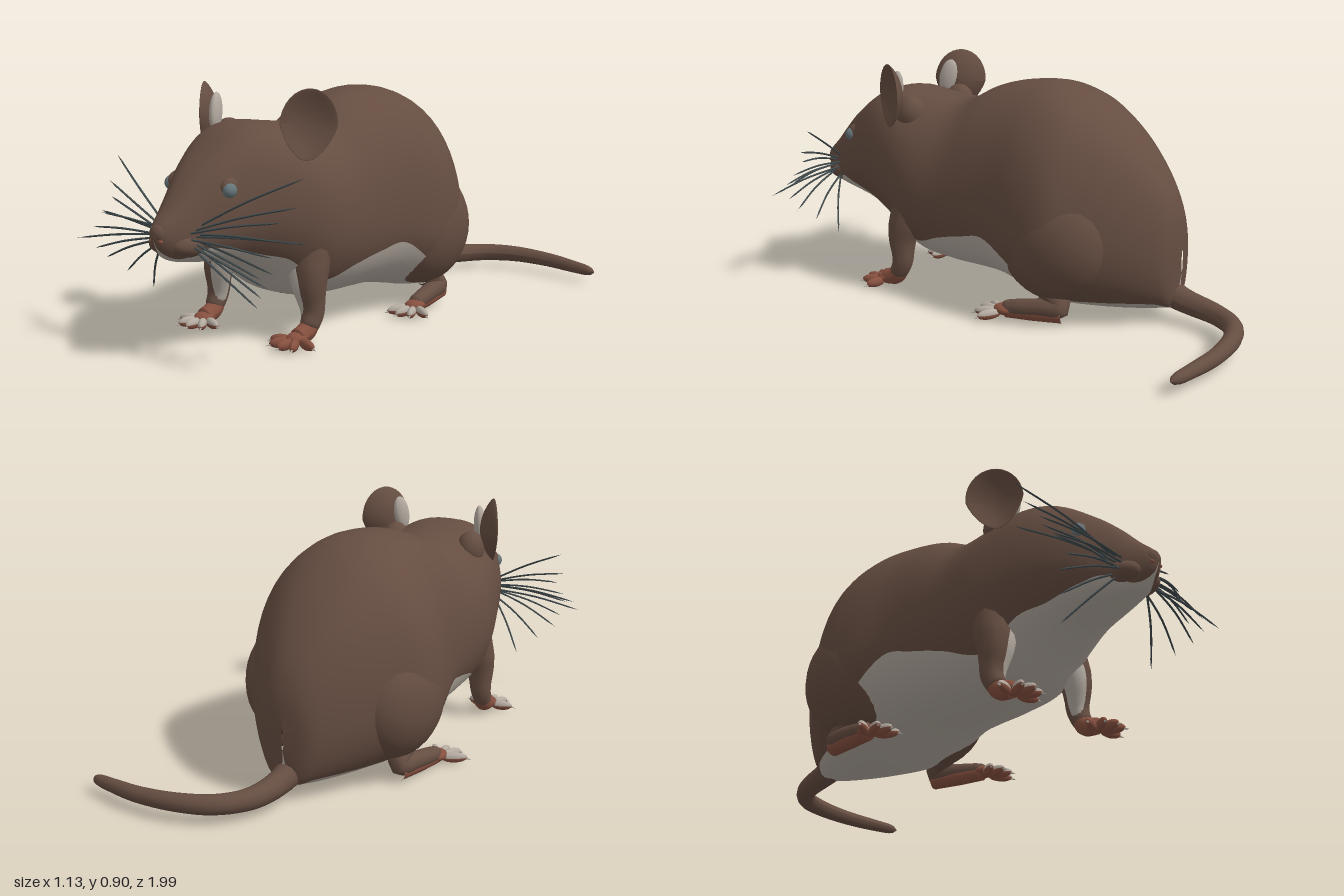
import * as THREE from 'three';

const mat = (name, color) => {
  const m = new THREE.MeshStandardMaterial({ color });
  m.name = name;
  return m;
};
const V = (x, y, z) => new THREE.Vector3(x, y, z);

export function createModel() {
  const brown = mat('brown fur', 0x654d41);
  const pale = mat('pale fur', 0xb3aaa0);
  const pink = mat('reddish skin', 0x86503f);
  const eyeGrey = mat('grey eye', 0x66757a);
  const dark = mat('dark whisker', 0x3f494c);

  const model = new THREE.Group();
  model.name = 'rodent';
  const rat = new THREE.Group();
  rat.name = 'animal';
  rat.position.x = -0.07;
  model.add(rat);

  const add = (parent, name, geo, material) => {
    const m = new THREE.Mesh(geo, material);
    m.name = name;
    parent.add(m);
    return m;
  };
  const ball = (parent, name, material, p, r) => {
    const m = add(parent, name, new THREE.SphereGeometry(1, 28, 20), material);
    m.position.set(...p);
    m.scale.set(...r);
    return m;
  };
  // tube whose radius follows a list of values, with rounded tip
  const taper = (parent, name, material, pts, radii, seg = 30, sides = 14) => {
    const curve = new THREE.CatmullRomCurve3(pts.map((p) => V(...p)));
    const geo = new THREE.TubeGeometry(curve, seg, 1, sides);
    const pos = geo.attributes.position, v = V();
    for (let i = 0; i < pos.count; i++) {
      const t = Math.floor(i / (sides + 1)) / seg;
      const f = t * (radii.length - 1), k = Math.min(Math.floor(f), radii.length - 2);
      let r = THREE.MathUtils.lerp(radii[k], radii[k + 1], f - k);
      if (t > 0.94) r *= Math.sqrt(Math.max(0, 1 - ((t - 0.94) / 0.06) ** 2));
      const c = curve.getPointAt(t);
      v.fromBufferAttribute(pos, i).sub(c).multiplyScalar(r).add(c);
      pos.setXYZ(i, v.x, v.y, v.z);
    }
    geo.computeVertexNormals();
    return add(parent, name, geo, material);
  };

  // body stations: z, top, widest height, bottom, half width, angle where the belly begins
  const stations = [
    [0.992, 0.445, 0.44, 0.435, 0.004, 88], [0.972, 0.485, 0.44, 0.395, 0.036, 85],
    [0.92, 0.535, 0.43, 0.352, 0.072, 60], [0.85, 0.61, 0.43, 0.337, 0.11, 24],
    [0.77, 0.68, 0.46, 0.325, 0.158, 35], [0.65, 0.762, 0.5, 0.295, 0.215, 48],
    [0.54, 0.787, 0.49, 0.235, 0.258, 44], [0.4, 0.772, 0.43, 0.14, 0.297, 48],
    [0.25, 0.765, 0.4, 0.115, 0.302, 31], [0.12, 0.825, 0.39, 0.11, 0.312, 22],
    [0, 0.855, 0.37, 0.105, 0.33, 16], [-0.15, 0.863, 0.33, 0.075, 0.368, 32],
    [-0.28, 0.826, 0.32, 0.045, 0.37, 54], [-0.4, 0.75, 0.32, 0.04, 0.305, 56],
    [-0.51, 0.645, 0.3, 0.045, 0.228, 56], [-0.6, 0.52, 0.27, 0.055, 0.148, 60],
    [-0.645, 0.405, 0.25, 0.075, 0.088, 80], [-0.662, 0.28, 0.25, 0.2, 0.005, 88],
  ];
  const curveA = new THREE.CatmullRomCurve3(stations.map((s) => V(s[0], s[1], s[3])), false, 'catmullrom');
  const curveB = new THREE.CatmullRomCurve3(stations.map((s) => V(s[2], s[4], s[5])), false, 'catmullrom');
  const step = THREE.MathUtils.smoothstep;
  const rows = 102, nU = 44, nL = 20, n = nU + nL;
  const verts = [], upper = [], lower = [];
  for (let i = 0; i <= rows; i++) {
    const A = curveA.getPoint(i / rows), B = curveB.getPoint(i / rows);
    const a = THREE.MathUtils.degToRad(Math.min(B.z, 88));
    // the skull is boxier than the back, and the underside flatter than both
    const skull = step(A.x, 0.35, 0.55) * (1 - step(A.x, 0.75, 0.95));
    const powTop = 0.88 - 0.16 * skull;
    for (let j = 0; j < n; j++) {
      const th = j <= nU ? -a + (j / nU) * (Math.PI + 2 * a)
        : Math.PI + a + ((j - nU) / nL) * (Math.PI - 2 * a);
      const c = Math.cos(th), s = Math.sin(th);
      verts.push(B.y * Math.sign(c) * Math.abs(c) ** (s > 0 ? powTop : 0.74),
        B.x + s * (s > 0 ? A.y - B.x : B.x - A.z), A.x);
      if (i < rows) {
        const p = i * n + j, q = i * n + (j + 1) % n;
        (j < nU ? upper : lower).push(p, p + n, q, q, p + n, q + n);
      }
    }
  }
  const bodyGeo = new THREE.BufferGeometry();
  bodyGeo.setAttribute('position', new THREE.Float32BufferAttribute(verts, 3));
  bodyGeo.setIndex([...upper, ...lower]);
  bodyGeo.addGroup(0, upper.length, 0);
  bodyGeo.addGroup(upper.length, lower.length, 1);
  bodyGeo.computeVertexNormals();
  add(rat, 'body', bodyGeo, [brown, pale]);

  // tail sweeping to the left
  taper(rat, 'tail', brown, [[0, 0.14, -0.54], [0.0, 0.09, -0.67], [0.03, 0.07, -0.81], [0.11, 0.068, -0.91],
    [0.23, 0.068, -0.96], [0.39, 0.062, -0.969], [0.53, 0.055, -0.945], [0.64, 0.05, -0.92]],
  [0.06, 0.045, 0.038, 0.035, 0.031, 0.027, 0.02], 50);

  // nose
  ball(rat, 'nose', brown, [0, 0.45, 0.962], [0.036, 0.036, 0.03]);

  // paw with a fan of toes: topped in one colour, reddish beneath
  const paw = (name, s, x, z, angles, len, topMat) => {
    const g = new THREE.Group();
    g.name = name;
    g.position.set(s * x, 0.027, z);
    rat.add(g);
    ball(g, 'palm', pink, [0, 0.008, 0], [0.036, 0.022, 0.045]);
    for (const deg of angles) {
      const toe = new THREE.Group();
      toe.name = 'toe';
      toe.rotation.y = s * THREE.MathUtils.degToRad(deg);
      g.add(toe);
      [[topMat, 0, 'toeTop'], [pink, Math.PI / 2, 'toePad']].forEach(([m, start, label]) => {
        const half = add(toe, label, new THREE.SphereGeometry(1, 12, 8, 0, Math.PI * 2, start, Math.PI / 2), m);
        half.scale.set(0.016, 0.02, len / 2);
        half.position.set(0, -0.004, 0.015 + len / 2);
      });
      const claw = add(toe, 'claw', new THREE.ConeGeometry(0.007, 0.03, 8), pale);
      claw.rotation.x = Math.PI / 2 + 0.2;
      claw.position.set(0, -0.01, 0.015 + len);
    }
  };

  // whisker tips: sideways, height, depth
  const tips = [[0.44, 0.65, 0.74], [0.44, 0.56, 0.78], [0.4, 0.51, 0.81], [0.42, 0.455, 0.84], [0.49, 0.445, 0.78],
    [0.42, 0.41, 0.88], [0.46, 0.37, 0.92], [0.39, 0.34, 0.9], [0.38, 0.3, 0.86], [0.32, 0.25, 0.82], [0.25, 0.19, 0.76]];

  for (const s of [1, -1]) {
    const side = s > 0 ? 'left' : 'right';

    // face
    ball(rat, side + 'Cheek', brown, [s * 0.05, 0.405, 0.875], [0.052, 0.042, 0.075]);
    ball(rat, side + 'Nostril', pink, [s * 0.022, 0.428, 0.978], [0.009, 0.007, 0.008]);
    ball(rat, side + 'Brow', brown, [s * 0.122, 0.588, 0.745], [0.03, 0.038, 0.048]);
    ball(rat, side + 'Eye', eyeGrey, [s * 0.136, 0.582, 0.768], [0.024, 0.026, 0.026]);
    tips.forEach(([x, y, z], i) => {
      const y0 = 0.46 - i * 0.006, z0 = 0.87 + (i % 3) * 0.015;
      taper(rat, side + 'Whisker', dark, [[s * 0.07, y0, z0],
        [s * (0.07 + x) / 2, (y0 + y) / 2 + 0.008, (z0 + z) / 2 + 0.01], [s * x, y, z]], [0.004, 0.004, 0.003], 8, 5);
    });

    // ear: shallow bowl turned outward and forward
    const ear = new THREE.Group();
    ear.name = side + 'Ear';
    ear.position.set(s * 0.23, 0.782, 0.475);
    ear.rotation.set(0, s * 0.98, -s * 0.08, 'YXZ');
    rat.add(ear);
    const disc = new THREE.SphereGeometry(1, 32, 32).rotateX(Math.PI / 2);
    const p = disc.attributes.position;
    for (let i = 0; i < p.count; i++) {
      const x = p.getX(i), y = p.getY(i), narrow = y < 0 ? 1 + 0.3 * y : 1;
      p.setXYZ(i, x * 0.105 * narrow, y * 0.125, p.getZ(i) * 0.012 + 0.04 * (x * x + y * y) - 0.02);
    }
    disc.computeVertexNormals();
    add(ear, 'earShell', disc, brown);
    const patch = ball(ear, 'earBackPatch', pale, [-s * 0.052, 0.015, -0.03], [0.036, 0.072, 0.021]);
    patch.rotation.set(0, s * 0.25, -s * 0.15);
    ball(rat, side + 'EarBase', brown, [s * 0.17, 0.705, 0.44], [0.055, 0.07, 0.062]);

    // front leg, brown outside and pale on the inner front
    taper(rat, side + 'FrontLeg', brown, [[s * 0.2, 0.36, 0.42], [s * 0.222, 0.22, 0.45], [s * 0.23, 0.11, 0.45],
      [s * 0.23, 0.05, 0.48]], [0.075, 0.066, 0.045, 0.034]);
    taper(rat, side + 'FrontLegInner', pale, [[s * 0.175, 0.34, 0.43], [s * 0.197, 0.22, 0.465],
      [s * 0.214, 0.12, 0.457], [s * 0.218, 0.075, 0.463]], [0.06, 0.052, 0.036, 0.024]);
    taper(rat, side + 'FrontWrist', pink, [[s * 0.23, 0.085, 0.458], [s * 0.228, 0.052, 0.48], [s * 0.226, 0.035, 0.54]],
      [0.034, 0.035, 0.03], 16);
    paw(side + 'FrontPaw', s, 0.225, 0.53, [-70, -35, -3, 28, 72], 0.088, s > 0 ? pink : pale);

    // hind leg
    ball(rat, side + 'Haunch', brown, [s * 0.212, 0.31, -0.25], [0.17, 0.23, 0.23]);
    taper(rat, side + 'HindFoot', brown, [[s * 0.24, 0.12, -0.24], [s * 0.262, 0.068, -0.3], [s * 0.28, 0.058, -0.22],
      [s * 0.295, 0.048, -0.13], [s * 0.3, 0.038, -0.07]], [0.05, 0.038, 0.036, 0.033, 0.028]);
    taper(rat, side + 'HindSole', pink, [[s * 0.264, 0.04, -0.31], [s * 0.285, 0.035, -0.18], [s * 0.3, 0.03, -0.07]],
      [0.03, 0.031, 0.028], 16);
    paw(side + 'HindPaw', s, 0.302, -0.08, [-32, -4, 24, 58], 0.1, pale);
  }
  return model;
}
